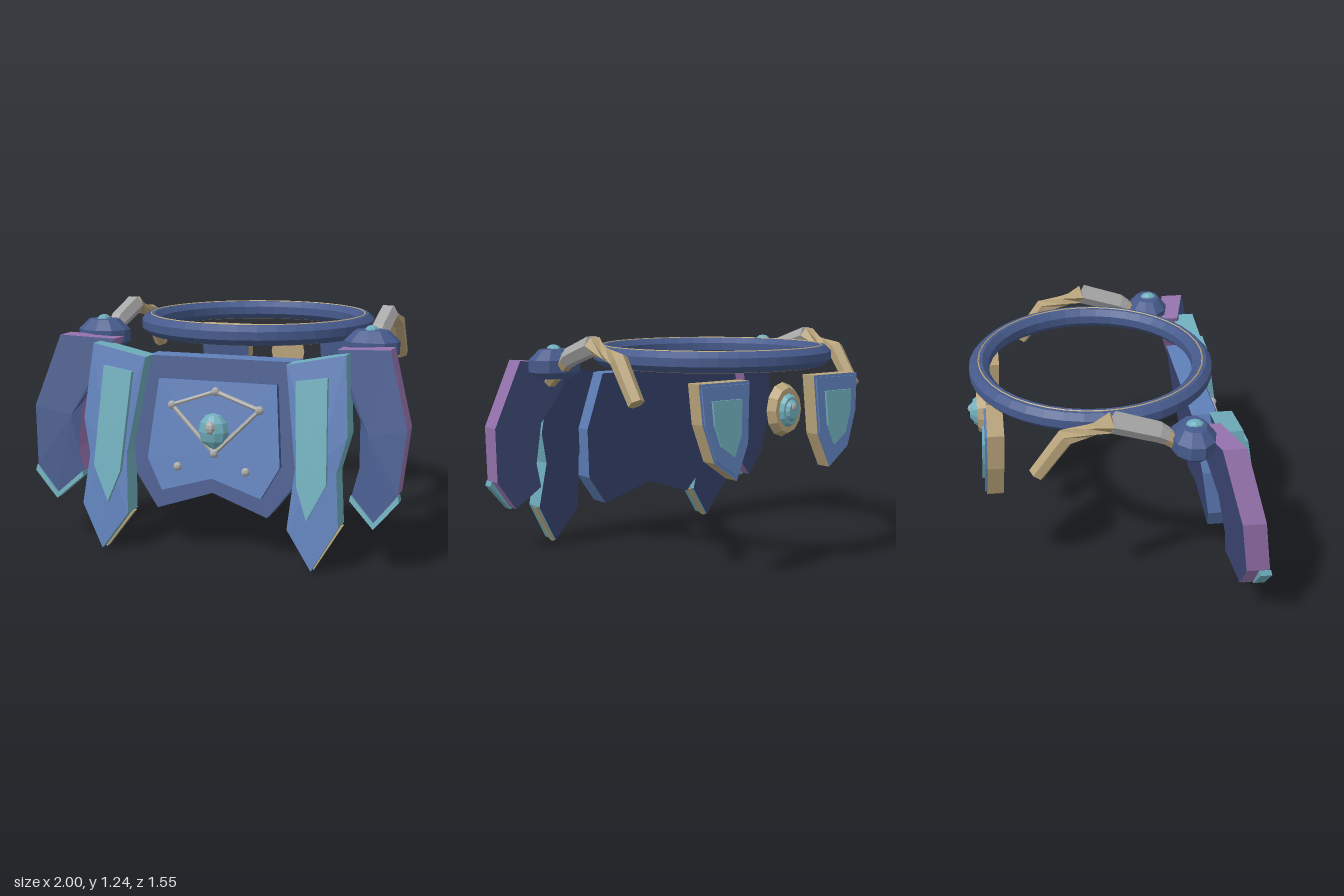
import * as THREE from 'three';

const NAVY = 0x465a8c, BLUE = 0x5f80ba, DARK = 0x3e4a78, TEAL = 0x6fadbc,
  PURPLE = 0x9673ae, GOLD = 0xb8a37a, GREY = 0xaaaaaa;

function mesh(name, geo, color) {
  const m = new THREE.Mesh(geo, new THREE.MeshStandardMaterial({ color, flatShading: true }));
  m.name = name;
  return m;
}

function facets(tris) {
  const g = new THREE.BufferGeometry();
  g.setAttribute('position', new THREE.Float32BufferAttribute(tris.flat(2), 3));
  g.computeVertexNormals();
  return g;
}

// Leaning armour plate: outline in x,y; z grows with lean and yaw.
// colors = [front, side, back]; bulge raises the centre of the front.
function plate(name, outline, o, side = 1) {
  const { z, depth, lean = 0.18, yaw = 0, bulge = 0, colors } = o;
  const pts = outline.map(([x, y]) => new THREE.Vector2(x * side, y));
  if (THREE.ShapeUtils.area(pts) < 0) pts.reverse();
  const at = (p, d) => [p.x, p.y, z + d + (1.06 - p.y) * lean + (p.x * side - 0.745) * yaw];
  const mid = pts.reduce((a, p) => a.add(p), new THREE.Vector2()).divideScalar(pts.length);
  const front = [], edge = [], back = [];
  pts.forEach((p, i) => {
    const q = pts[(i + 1) % pts.length];
    front.push([at(mid, depth + bulge), at(p, depth), at(q, depth)]);
    back.push([at(mid, 0), at(q, 0), at(p, 0)]);
    edge.push([at(p, depth), at(p, 0), at(q, 0)], [at(p, depth), at(q, 0), at(q, depth)]);
  });
  const g = new THREE.Group();
  g.name = name;
  g.add(mesh('frontFace', facets(front), colors[0]),
    mesh('edge', facets(edge), colors[1]),
    mesh('backFace', facets(back), colors[2]));
  return g;
}

// Six-sided bar through sections [z, y, radius, twist] at a fixed x
function bar(name, x, sections, color) {
  const n = 6, c = sections.map(([z, y]) => new THREE.Vector3(x, y, z));
  const X = new THREE.Vector3(1, 0, 0), tris = [];
  const rings = sections.map(([, , r, twist = 0], i) => {
    const t = c[Math.min(i + 1, c.length - 1)].clone().sub(c[Math.max(i - 1, 0)]).normalize();
    const N = t.cross(X);
    return Array.from({ length: n }, (_, j) => {
      const a = (j / n) * Math.PI * 2 + twist;
      return c[i].clone().addScaledVector(X, r * Math.cos(a)).addScaledVector(N, r * Math.sin(a)).toArray();
    });
  });
  const last = rings.length - 1;
  for (let j = 0; j < n; j++) {
    const k = (j + 1) % n;
    for (let i = 0; i < last; i++) {
      const A = rings[i], B = rings[i + 1];
      tris.push([A[j], A[k], B[k]], [A[j], B[k], B[j]]);
    }
    tris.push([c[0].toArray(), rings[0][k], rings[0][j]]);
    tris.push([c[last].toArray(), rings[last][j], rings[last][k]]);
  }
  return mesh(name, facets(tris), color);
}

function ball(name, [x, y, z], [rx, ry, rz], color, seg = 10) {
  const m = mesh(name, new THREE.SphereGeometry(1, seg, 6), color);
  m.position.set(x, y, z);
  m.scale.set(rx, ry, rz);
  return m;
}

function rod(name, a, b, r, color) {
  const A = new THREE.Vector3(...a), d = new THREE.Vector3(...b).sub(A);
  const m = mesh(name, new THREE.CylinderGeometry(r, r, d.length(), 6), color);
  m.position.copy(A).addScaledVector(d, 0.5);
  m.quaternion.setFromUnitVectors(new THREE.Vector3(0, 1, 0), d.normalize());
  return m;
}

const mirror = half => [...half, ...half.filter(p => p[0] !== 0).reverse().map(([x, y]) => [-x, y])];

function waistRing() {
  const g = new THREE.Group();
  g.name = 'waistRing';
  const profile = [];
  for (let i = 0; i <= 8; i++) {
    const a = (i / 8) * Math.PI * 2 + Math.PI / 8;
    profile.push(new THREE.Vector2(0.596 + 0.056 * Math.cos(a), 1.122 + 0.056 * Math.sin(a)));
  }
  g.add(mesh('band', new THREE.LatheGeometry(profile, 40), NAVY));
  for (const y of [1.172, 1.072]) {
    const trim = mesh('goldTrim', new THREE.TorusGeometry(0.596, 0.006, 4, 40), GOLD);
    trim.rotation.x = Math.PI / 2;
    trim.position.y = y;
    g.add(trim);
  }
  g.position.z = -0.11;
  return g;
}

function centrePanel() {
  const g = new THREE.Group();
  g.name = 'centrePanel';
  g.add(plate('panel', mirror([[0, 0.32], [0.3, 0.22], [0.43, 0.39], [0.47, 0.68], [0.4, 1.0]]),
    { z: 0.36, depth: 0.13, colors: [NAVY, BLUE, DARK] }));
  g.add(plate('raisedPanel', mirror([[0, 0.4], [0.27, 0.32], [0.36, 0.48], [0.32, 0.89]]),
    { z: 0.48, depth: 0.04, colors: [BLUE, NAVY, DARK] }));
  // Kite of rods with ball joints, gem and loose studs
  const onFront = (x, y) => [x, y, 0.53 + (1.06 - y) * 0.18];
  const kite = [[0, 0.84], [0.24, 0.76], [0.01, 0.53], [-0.235, 0.76]].map(p => onFront(...p));
  kite.forEach((p, i) => {
    g.add(rod('kiteRod', p, kite[(i + 1) % 4], 0.012, GREY));
    g.add(ball('kiteJoint', p, [0.023, 0.023, 0.023], GREY, 8));
  });
  for (const x of [-0.185, 0.185])
    g.add(ball('stud', onFront(x, 0.45), [0.023, 0.023, 0.023], GREY, 8));
  g.add(ball('gem', [0, 0.64, 0.6], [0.083, 0.095, 0.06], TEAL));
  g.add(ball('gemStud', [0, 0.665, 0.648], [0.03, 0.035, 0.024], GREY, 6));
  return g;
}

// Long front strip, outer side plate and shoulder arm of one side
function sideParts(s) {
  const g = new THREE.Group();
  g.name = s > 0 ? 'leftSide' : 'rightSide';
  g.add(plate('frontStrip', [[0.68, 1.06], [0.38, 1.0], [0.455, 0.5], [0.43, 0.2], [0.565, 0.01],
    [0.69, 0.23], [0.665, 0.49], [0.71, 0.67]],
  { z: 0.455, depth: 0.12, bulge: 0.015, colors: [BLUE, TEAL, DARK] }, s));
  g.add(plate('stripInset', [[0.6, 0.95], [0.44, 0.925], [0.475, 0.42], [0.535, 0.26], [0.625, 0.44]],
    { z: 0.56, depth: 0.045, colors: [TEAL, TEAL, DARK] }, s));
  g.add(plate('stripGoldTrim', [[0.698, 0.225], [0.565, 0], [0.422, 0.195], [0.56, 0.21]],
    { z: 0.48, depth: 0.04, colors: [GOLD, GOLD, GOLD] }, s));

  g.add(plate('sidePlate', [[0.89, 1.09], [0.61, 1.07], [0.67, 0.9], [0.755, 0.74], [0.765, 0.5],
    [0.73, 0.37], [0.86, 0.25], [0.97, 0.41], [1.0, 0.72]],
  { z: 0.39, depth: 0.12, yaw: 0.27, bulge: 0.015, colors: [NAVY, PURPLE, DARK] }, s));
  const trim = { z: 0.47, depth: 0.06, yaw: 0.2, colors: [TEAL, TEAL, TEAL] };
  g.add(plate('sidePlateTrim', [[0.972, 0.41], [0.855, 0.265], [0.857, 0.235], [0.98, 0.38]], trim, s));
  g.add(plate('sidePlateTrim', [[0.855, 0.265], [0.73, 0.38], [0.725, 0.355], [0.857, 0.235]], trim, s));

  // Shoulder boss with teal cap
  const x = 0.745 * s;
  const profile = [[0.001, 1.0], [0.1, 1.0], [0.145, 1.035], [0.145, 1.1], [0.085, 1.155], [0.001, 1.16]]
    .map(p => new THREE.Vector2(...p));
  const boss = mesh('shoulderBoss', new THREE.LatheGeometry(profile, 10), NAVY);
  boss.position.set(x, 0, 0.31);
  boss.scale.z = 0.78;
  g.add(boss, ball('bossCap', [x, 1.15, 0.315], [0.036, 0.03, 0.048], TEAL, 8));

  // Bent arm running backwards
  g.add(bar('armRoot', x, [[0.36, 0.975, 0.035], [0.17, 1.105, 0.042]], GOLD));
  g.add(bar('armGrip', x, [[0.18, 1.1, 0.045], [0.14, 1.125, 0.052], [-0.08, 1.195, 0.055]], GREY));
  g.add(bar('armTail', x, [[-0.08, 1.193, 0.053], [-0.2, 1.155, 0.032, 0.9], [-0.31, 1.13, 0.047, 1.57],
    [-0.455, 0.93, 0.042, 1.57]], GOLD));

  // Rear shield
  const shield = [[0.54, 1.03], [0.22, 1.03], [0.24, 0.72], [0.32, 0.54], [0.46, 0.64], [0.525, 0.83]];
  const inset = k => shield.map(([a, b]) => [0.38 + (a - 0.38) * k, 0.83 + (b - 0.83) * k]);
  g.add(plate('rearShield', shield, { z: -0.68, depth: 0.085, lean: -0.05, colors: [NAVY, GOLD, BLUE] }, s));
  g.add(plate('rearShieldFace', inset(0.93),
    { z: -0.69, depth: 0.02, lean: -0.05, colors: [BLUE, BLUE, BLUE] }, s));
  g.add(plate('rearShieldInset', inset(0.58),
    { z: -0.702, depth: 0.02, lean: -0.05, colors: [TEAL, TEAL, TEAL] }, s));
  return g;
}

function rearMedallion() {
  const g = new THREE.Group();
  g.name = 'rearMedallion';
  const disc = (name, r0, r1, z, depth, color) => {
    const m = mesh(name, new THREE.CylinderGeometry(r0, r1, depth, 12), color);
    m.rotation.x = Math.PI / 2;
    m.scale.x = 0.75;
    m.position.z = z;
    g.add(m);
  };
  disc('goldDisc', 0.14, 0.115, -0.705, 0.05, GOLD);
  disc('tealStep', 0.088, 0.07, -0.74, 0.025, TEAL);
  disc('tealStep', 0.06, 0.04, -0.76, 0.02, TEAL);
  g.add(ball('medallionStud', [0, 0.02, -0.765], [0.018, 0.022, 0.016], GREY, 8));
  g.position.y = 0.87;
  return g;
}

export function createModel() {
  const model = new THREE.Group();
  model.name = 'waistArmour';
  model.add(waistRing(), centrePanel(), sideParts(1), sideParts(-1), rearMedallion());
  return model;
}
